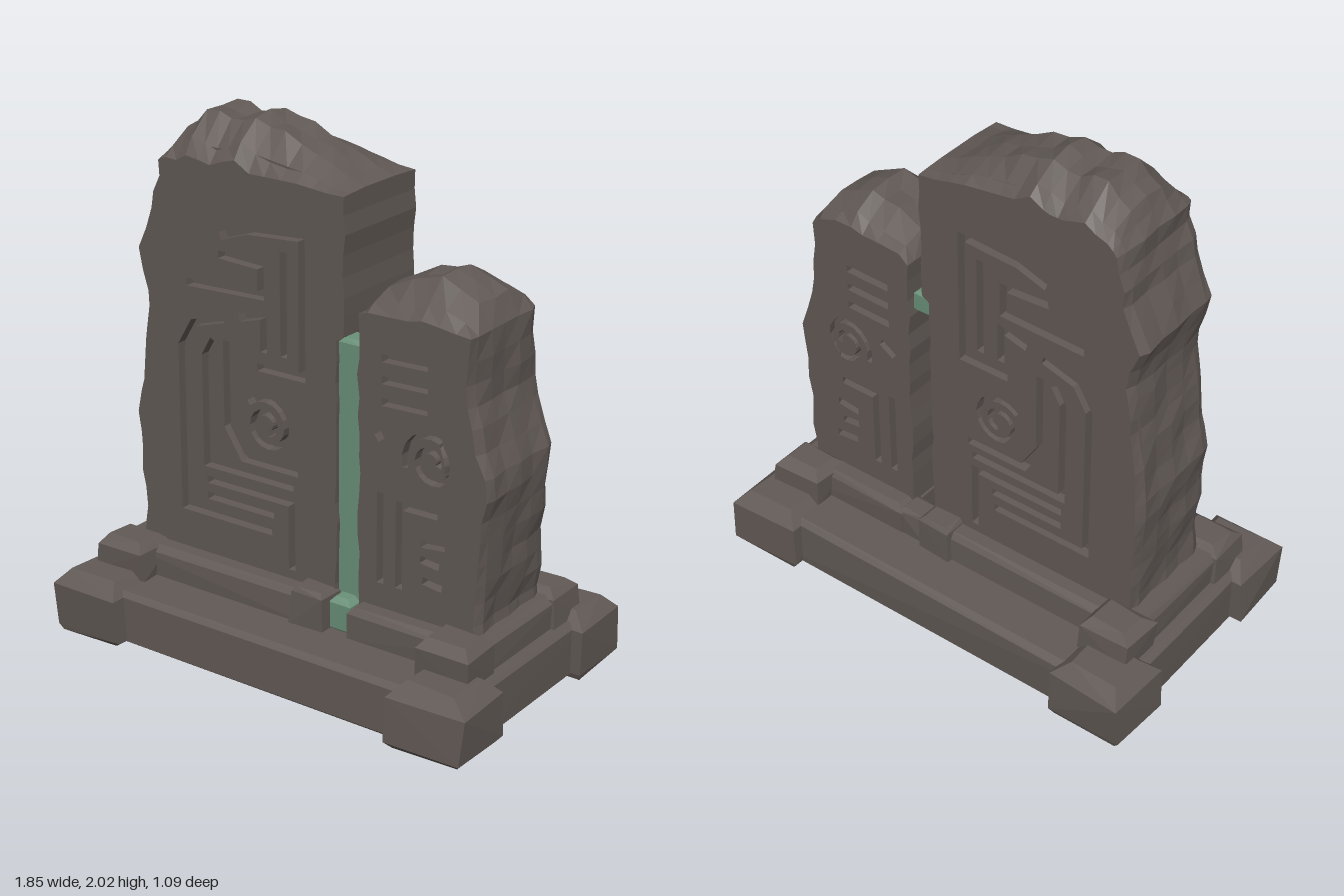
import * as THREE from 'three';
import { ConvexGeometry } from 'three/addons/geometries/ConvexGeometry.js';

// seeded jitter in -1..1
let seed = 7;
const rnd = () => {
  seed = (seed * 16807) % 2147483647;
  return (seed / 2147483647) * 2 - 1;
};

// outline with extra points along each edge, slightly chipped
function roughOutline(pts, step = 0.075, amount = 0.008) {
  const out = [];
  pts.forEach(([x, y], i) => {
    const [nx, ny] = pts[(i + 1) % pts.length];
    const n = Math.max(1, Math.round(Math.hypot(nx - x, ny - y) / step));
    for (let k = 0; k < n; k++) {
      const t = k / n, j = k ? amount : 0;
      out.push(new THREE.Vector2(x + (nx - x) * t + rnd() * j, y + (ny - y) * t + rnd() * j));
    }
  });
  return out;
}

// closed band of constant width around a path
function stroke(path, width = 0.03) {
  const p = path.map(([x, y]) => new THREE.Vector2(x, y));
  const left = [], right = [];
  p.forEach((v, i) => {
    const a = p[Math.max(i - 1, 0)], b = p[Math.min(i + 1, p.length - 1)];
    const d1 = (i ? v.clone().sub(a) : b.clone().sub(v)).normalize();
    const d2 = (i < p.length - 1 ? b.clone().sub(v) : d1.clone()).normalize();
    const m = new THREE.Vector2(-d1.y - d2.y, d1.x + d2.x).normalize();
    const len = width / 2 / Math.max(0.5, m.dot(new THREE.Vector2(-d1.y, d1.x)));
    left.push(v.clone().addScaledVector(m, len));
    right.unshift(v.clone().addScaledVector(m, -len));
  });
  return new THREE.Path([...left, ...right]);
}

function spiral(cx, cy, r, start) {
  const pts = [];
  for (let i = 0; i <= 26; i++) {
    const t = i / 26, a = start - t * Math.PI * 3.2, q = r * (1 - 0.75 * t);
    pts.push([cx + Math.cos(a) * q, cy + Math.sin(a) * q]);
  }
  return stroke(pts, 0.022);
}

// block with chamfered top and bottom edges and worn corners
function block(x0, x1, y0, y1, z0, z1, c = 0.03, wear = 0.006) {
  const pts = [];
  const levels = [[y0, c * 0.3], [y0 + c * 0.4, 0], [y1 - c, 0], [y1, c]];
  for (const [y, i] of levels)
    for (const x of [x0 + i, x1 - i])
      for (const z of [z0 + i, z1 - i])
        pts.push(new THREE.Vector3(x + rnd() * wear, y, z + rnd() * wear));
  return new ConvexGeometry(pts);
}

export function createModel() {
  const root = new THREE.Group();
  root.name = 'carvedStoneMonument';
  const stone = new THREE.MeshStandardMaterial({ color: 0x615955, flatShading: true });
  stone.name = 'stone';
  const green = new THREE.MeshStandardMaterial({ color: 0x6a9079, flatShading: true });
  green.name = 'greenStone';

  const add = (name, geo, mat = stone, parent = root) => {
    const m = new THREE.Mesh(geo, mat);
    m.name = name;
    parent.add(m);
    return m;
  };

  // base slab and its corner blocks
  add('baseSlab', block(-0.87, 0.87, 0.01, 0.215, -0.485, 0.485, 0.02));
  for (const sx of [-1, 1])
    for (const sz of [-1, 1]) {
      const span = (a, b, s) => (s > 0 ? [a, b] : [-b, -a]);
      add('cornerFoot', block(...span(0.61, 0.915, sx), 0, 0.25, ...span(0.27, 0.535, sz), 0.055, 0.01));
      add('cornerCap', block(...span(0.62, 0.835, sx), 0.2, 0.36, ...span(0.2, 0.375, sz), 0.035, 0.008));
    }

  // upper step, notched at the front for the green strip
  add('stepLeft', block(0.265, 0.82, 0.2, 0.335, -0.29, 0.29, 0.025));
  add('stepRight', block(-0.82, 0.165, 0.2, 0.335, -0.29, 0.29, 0.025));
  add('stepBack', block(0.15, 0.28, 0.2, 0.33, -0.285, -0.18, 0.015));
  for (const s of [-1, 1])
    add('stepBracket', block(0.03, 0.17, 0.2, 0.36, s * 0.255 - 0.055, s * 0.255 + 0.055, 0.018));

  // standing stone: solid core with a carved plate on each face
  function slab(name, outline, grooves, side, topStart) {
    const g = new THREE.Group();
    g.name = name;
    root.add(g);
    const pts = roughOutline(outline);
    const warp = (geo) => {
      const p = geo.attributes.position;
      for (let i = 0; i < p.count; i++) {
        let x = p.getX(i), y = p.getY(i);
        const z = p.getZ(i), az = Math.abs(z);
        const wave = Math.sin(y * 17 + z * 13) * Math.sin(y * 7 - z * 21);
        // worn flanks
        if (side * x > 0.62 && y < topStart + 0.1)
          x -= side * (0.008 + 0.01 * wave + (az > 0.2 ? 0.012 : 0));
        // crumbling crown, lower towards both faces
        if (y > topStart) {
          const k = Math.min(1, (y - topStart) * 6);
          y -= k * (Math.max(0, az - 0.11) * (z > 0 ? 1.3 : 0.9) + 0.02 * Math.abs(Math.sin(x * 11 + z * 16)));
        }
        p.setXY(i, x, y);
      }
      geo.computeVertexNormals();
      return geo;
    };
    const extrude = (shape, z0, depth, steps) =>
      warp(new THREE.ExtrudeGeometry(shape, { depth, steps, bevelEnabled: false, curveSegments: 4 }).translate(0, 0, z0));
    add('core', extrude(new THREE.Shape(pts), -0.175, 0.35, 4), stone, g);
    const face = new THREE.Shape(pts);
    face.holes = grooves;
    add('frontCarving', extrude(face, 0.175, 0.04, 1), stone, g);
    add('backCarving', extrude(face, -0.215, 0.04, 1), stone, g);
  }

  slab('tallStone',
    [[-0.75, 0.3], [0.168, 0.3], [0.168, 1.3], [0.2, 1.32], [0.2, 1.83], [0, 1.92], [-0.27, 2.02],
      [-0.38, 1.99], [-0.49, 2.015], [-0.58, 1.94], [-0.64, 1.84], [-0.67, 1.64], [-0.74, 1.48],
      [-0.7, 1.32], [-0.72, 1.13], [-0.76, 0.83]],
    [
      stroke([[-0.34, 1.59], [-0.22, 1.63], [0.02, 1.645], [0.02, 1.13], [-0.18, 1.13]]),
      stroke([[-0.06, 1.58], [-0.06, 1.19]]),
      stroke([[-0.35, 1.52], [-0.16, 1.51], [-0.16, 1.4], [-0.5, 1.39]]),
      stroke([[-0.26, 1.3], [-0.15, 1.33], [-0.15, 1.19]]),
      stroke([[-0.33, 1.28], [-0.47, 1.24], [-0.53, 1.14], [-0.53, 0.5], [-0.12, 0.5]]),
      stroke([[-0.38, 1.19], [-0.42, 1.12], [-0.42, 0.7], [-0.02, 0.7]]),
      stroke([[-0.42, 0.635], [-0.03, 0.635], [-0.03, 0.37]]),
      stroke([[-0.42, 0.57], [-0.11, 0.57]]),
      stroke([[-0.32, 1.2], [-0.32, 0.87], [-0.25, 0.76], [0, 0.76]]),
      spiral(-0.14, 0.91, 0.11, 2.4),
    ], -1, 1.82);

  slab('shortStone',
    [[0.27, 0.3], [0.775, 0.3], [0.785, 0.6], [0.805, 0.93], [0.75, 1.1], [0.73, 1.25], [0.73, 1.42],
      [0.68, 1.51], [0.52, 1.585], [0.4, 1.545], [0.3, 1.5], [0.262, 1.42]],
    [
      ...[1.28, 1.2, 1.12].map((y) => stroke([[0.36, y], [0.55, y + 0.005]])),
      spiral(0.57, 0.94, 0.115, 3.5),
      stroke([[0.34, 0.98], [0.4, 1.02]]),
      stroke([[0.36, 0.43], [0.36, 0.78]]),
      stroke([[0.44, 0.43], [0.44, 0.75], [0.62, 0.75]]),
      stroke([[0.53, 0.63], [0.65, 0.64]]),
      stroke([[0.53, 0.57], [0.63, 0.56]]),
      stroke([[0.54, 0.49], [0.65, 0.48]]),
    ], 1, 1.42);

  // green strip in the gap between the stones
  add('greenPost', block(0.168, 0.262, 0.28, 1.31, 0.1, 0.2, 0.015, 0.003), green);
  add('greenBeam', block(0.17, 0.26, 1.22, 1.3, -0.19, 0.16, 0.012, 0.003), green);
  add('greenFoot', block(0.168, 0.262, 0.212, 0.34, 0.08, 0.26, 0.02, 0.003), green);

  return root;
}
